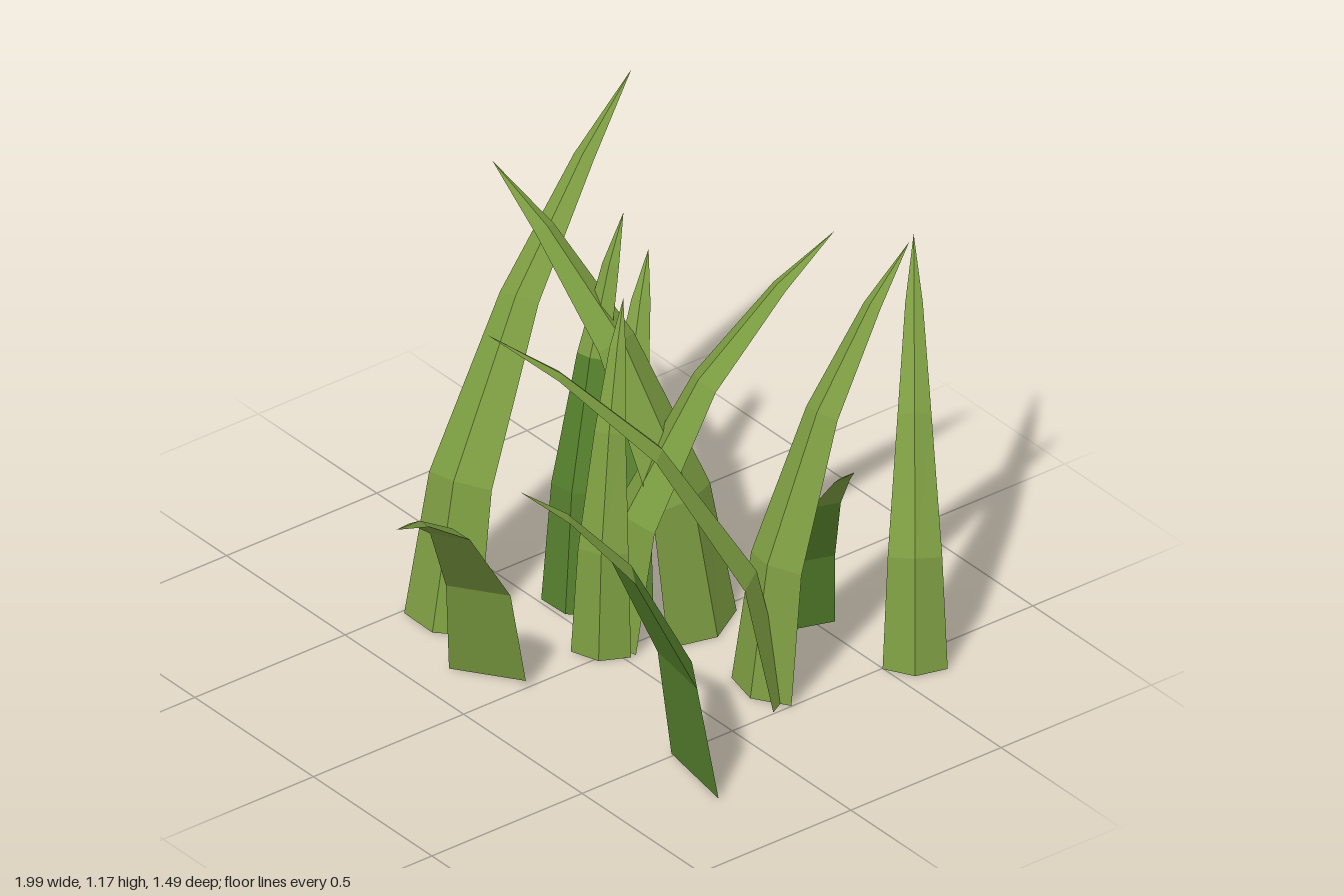
import * as THREE from 'three';

const olive = new THREE.MeshStandardMaterial({ color: 0x7a9a40 });
olive.name = 'olive green';
const green = new THREE.MeshStandardMaterial({ color: 0x557f2d });
green.name = 'leaf green';

// Shared blade curve: forward reach, height and width at each ring, as fractions
const REACH = [0, 0.1, 0.41, 0.75, 1];
const RISE = [0, 0.33, 0.67, 0.885, 1];
const WIDTH = [1, 0.84, 0.52, 0.27, 0];

// Triangular blade that bends towards local +x, with its ridge on the outer side
function bladeGeometry(reach, height, width, lowerMaterial) {
  const path = REACH.map((f, i) => new THREE.Vector2(f * reach, RISE[i] * height));
  const rings = path.map((p, i) => {
    const w = width * WIDTH[i];
    const t = i === 0
      ? new THREE.Vector2(0, 1)
      : path[Math.min(i + 1, 4)].clone().sub(path[i - 1]).normalize();
    return [
      new THREE.Vector3(p.x, p.y, w / 2),
      new THREE.Vector3(p.x, p.y, -w / 2),
      new THREE.Vector3(p.x - t.y * w * 0.21, p.y + t.x * w * 0.21, 0),
    ];
  });
  const points = [rings[0][0], rings[0][2], rings[0][1]]; // bottom cap
  let split = 0;
  for (let i = 0; i < 4; i++) {
    if (i === 2) split = points.length;
    for (let k = 0; k < 3; k++) {
      const n = (k + 1) % 3;
      const [a, b, c, d] = [rings[i][k], rings[i][n], rings[i + 1][n], rings[i + 1][k]];
      points.push(a, b, c);
      if (i < 3) points.push(a, c, d);
    }
  }
  const geometry = new THREE.BufferGeometry().setFromPoints(points);
  geometry.computeVertexNormals();
  geometry.addGroup(0, split, lowerMaterial);
  geometry.addGroup(split, points.length - split, 0);
  return geometry;
}

// Base x, base z, tip x, tip z, height, base width, and 1 for a darker lower half
const BLADES = [
  [-0.27, -0.385, 0.65, -0.75, 1.175, 0.225, 0],
  [-0.33, -0.115, -1.0, 0.35, 0.93, 0.21, 0],
  [-0.215, 0.615, -0.73, 0.53, 1.03, 0.255, 1],
  [0.47, 0.215, 0.355, 0.565, 0.69, 0.16, 1],
  [0.05, -0.06, 0.71, 0.03, 1.035, 0.22, 0],
  [-0.035, -0.01, 0.205, -0.22, 0.9, 0.16, 0],
  [0.25, 0.057, 0.14, -0.69, 1.12, 0.26, 0],
  [0.05, -0.24, 0.32, -0.365, 1.05, 0.18, 1],
  [0.17, -0.2, 0.51, -0.5, 0.8, 0.19, 1],
  [0.565, 0.555, 0.99, 0.01, 0.91, 0.17, 0],
  [0.2, 0.42, -0.385, -0.045, 1.1, 0.19, 0],
  [0.18, 0.395, 0.75, 0.295, 1.115, 0.21, 0],
];

export function createModel() {
  const group = new THREE.Group();
  group.name = 'grassTuft';
  BLADES.forEach(([x, z, tipX, tipZ, height, width, lower], i) => {
    const dx = tipX - x, dz = tipZ - z;
    const blade = new THREE.Mesh(
      bladeGeometry(Math.hypot(dx, dz), height, width, lower), [olive, green]);
    blade.name = `grassBlade${i + 1}`;
    blade.position.set(x, 0, z);
    blade.rotation.y = Math.atan2(-dz, dx);
    group.add(blade);
  });
  return group;
}
